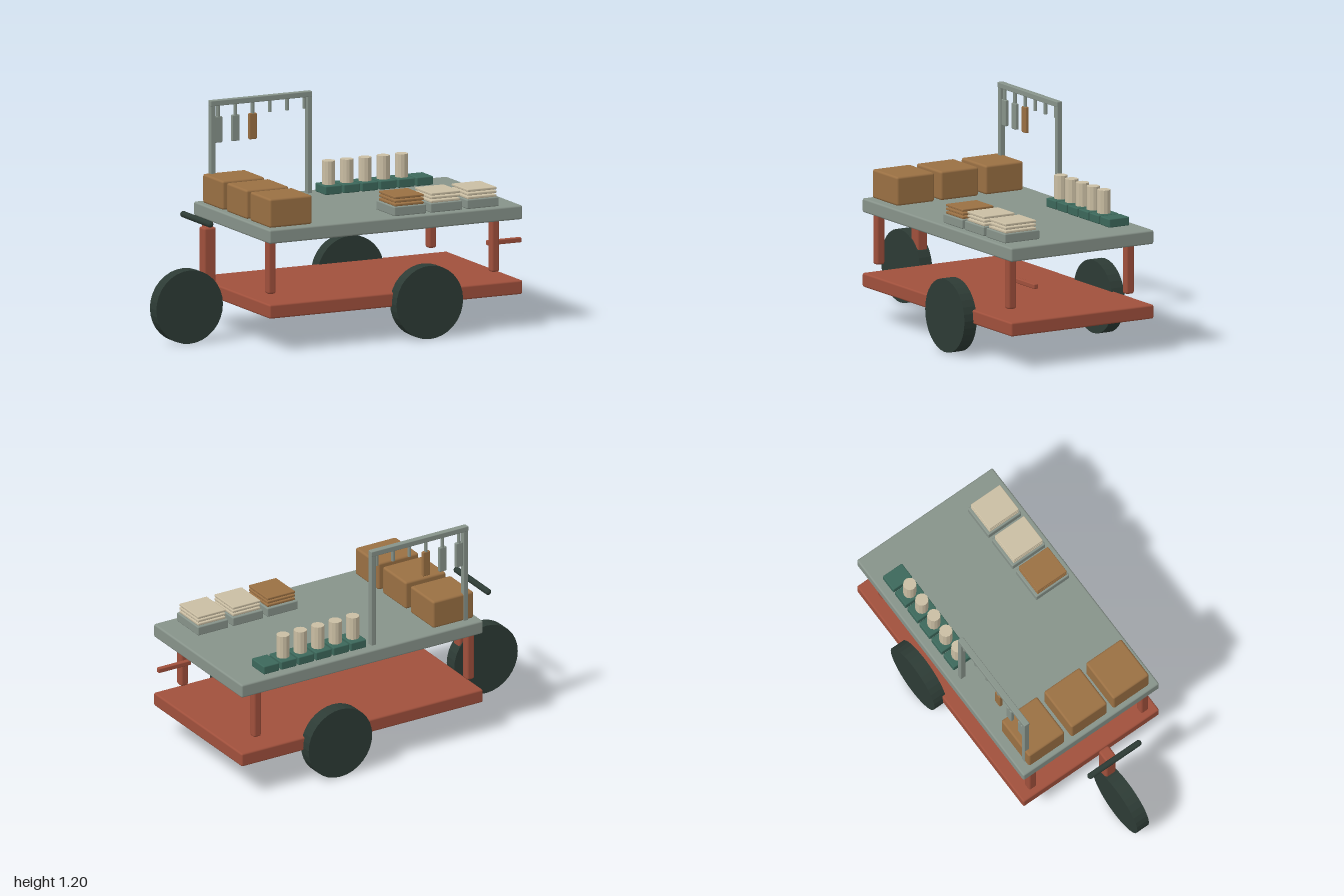
import * as THREE from 'three';
import { RoundedBoxGeometry } from 'three/addons/geometries/RoundedBoxGeometry.js';

const material = (name, color) => {
  const m = new THREE.MeshStandardMaterial({ color });
  m.name = name;
  return m;
};

export function createModel() {
  const steel = material('grey steel', 0x87938a);
  const red = material('red paint', 0xa0503c);
  const rubber = material('dark rubber', 0x2d3b35);
  const wood = material('brown wood', 0x9a7043);
  const green = material('green enamel', 0x3c685b);
  const cream = material('cream', 0xcabea3);

  const cart = new THREE.Group();
  cart.name = 'vendorCart';

  const add = (name, geometry, mat, x = 0, y = 0, z = 0) => {
    const mesh = new THREE.Mesh(geometry, mat);
    mesh.name = name;
    mesh.position.set(x, y, z);
    cart.add(mesh);
    return mesh;
  };

  // Bevelled block given by its minimum and maximum on each axis
  const block = (name, mat, [x0, x1], [y0, y1], [z0, z1], bevel = 0.008) =>
    add(name, new RoundedBoxGeometry(x1 - x0, y1 - y0, z1 - z0, 2, bevel), mat,
      (x0 + x1) / 2, (y0 + y1) / 2, (z0 + z1) / 2);

  // Faceted cylinder
  const faceted = (radius, height, sides) => {
    const g = new THREE.CylinderGeometry(radius, radius, height, sides).toNonIndexed();
    g.computeVertexNormals();
    return g;
  };

  // Counter top and lower deck
  block('counterTop', steel, [-0.54, 0.95], [0.58, 0.655], [-0.44, 0.44], 0.01);
  block('lowerDeck', red, [-0.54, 0.95], [0.18, 0.255], [-0.44, 0.44], 0.01);

  // Legs
  for (const x of [-0.497, 0.818]) {
    for (const z of [-0.363, 0.363]) {
      block('leg', red, [x - 0.023, x + 0.023], [0.3, 0.585], [z - 0.025, z + 0.025], 0.012);
    }
  }

  // Wheels: one in front, two beside the deck
  for (const [x, z] of [[-0.806, 0], [0.375, 0.457], [0.375, -0.457]]) {
    const wheel = add('wheel', faceted(0.196, 0.075, 32), rubber, x, 0.197, z);
    wheel.rotation.x = Math.PI / 2;
  }

  // Steering post, handlebar and push handle
  block('steeringPost', red, [-0.717, -0.645], [0.3, 0.61], [-0.032, 0.032], 0.012);
  const bar = add('handlebar', new THREE.CapsuleGeometry(0.017, 0.31, 4, 12), rubber, -0.745, 0.655, 0);
  bar.rotation.x = Math.PI / 2;
  block('pushHandle', red, [0.8, 1], [0.433, 0.459], [0.304, 0.33], 0.005);

  // Storage crates
  for (const z of [-0.27, 0.006, 0.277]) {
    block('crate', wood, [-0.515, -0.265], [0.655, 0.81], [z - 0.116, z + 0.116], 0.012);
  }

  // Hanging rack
  for (const x of [-0.465, 0.104]) {
    block('rackPost', steel, [x - 0.014, x + 0.014], [0.65, 1.18], [-0.389, -0.358], 0.004);
  }
  block('rackBar', steel, [-0.48, 0.118], [1.17, 1.2], [-0.39, -0.357], 0.004);

  // Hooks, the first three holding utensils
  for (let i = 0; i < 6; i++) {
    const x = -0.43 + i * 0.1015;
    add('hook', new THREE.CylinderGeometry(0.01, 0.01, 0.07, 8), steel, x, 1.143, -0.373);
    if (i < 3) {
      block('utensil', i === 2 ? wood : steel,
        [x - 0.022, x + 0.022], [0.972, 1.112], [-0.383, -0.363], 0.005);
    }
  }

  // Row of condiment stands, all but the last with a jar
  for (let i = 0; i < 6; i++) {
    const x = 0.198 + i * 0.1075;
    block('jarStand', green, [x - 0.048, x + 0.048], [0.655, 0.702], [-0.392, -0.268], 0.006);
    if (i < 5) add('jar', faceted(0.035, 0.127, 12), cream, x, 0.7635, -0.33);
  }

  // Trays with stacked sheets
  [0.307, 0.52, 0.735].forEach((x, i) => {
    block('tray', steel, [x - 0.094, x + 0.094], [0.655, 0.705], [0.19, 0.404], 0.006);
    for (let k = 0; k < 3; k++) {
      const y = 0.705 + k * 0.0195;
      block('stackedSheet', i ? cream : wood,
        [x - 0.085, x + 0.085], [y, y + 0.0135], [0.204, 0.394], 0.004);
    }
  });

  return cart;
}
